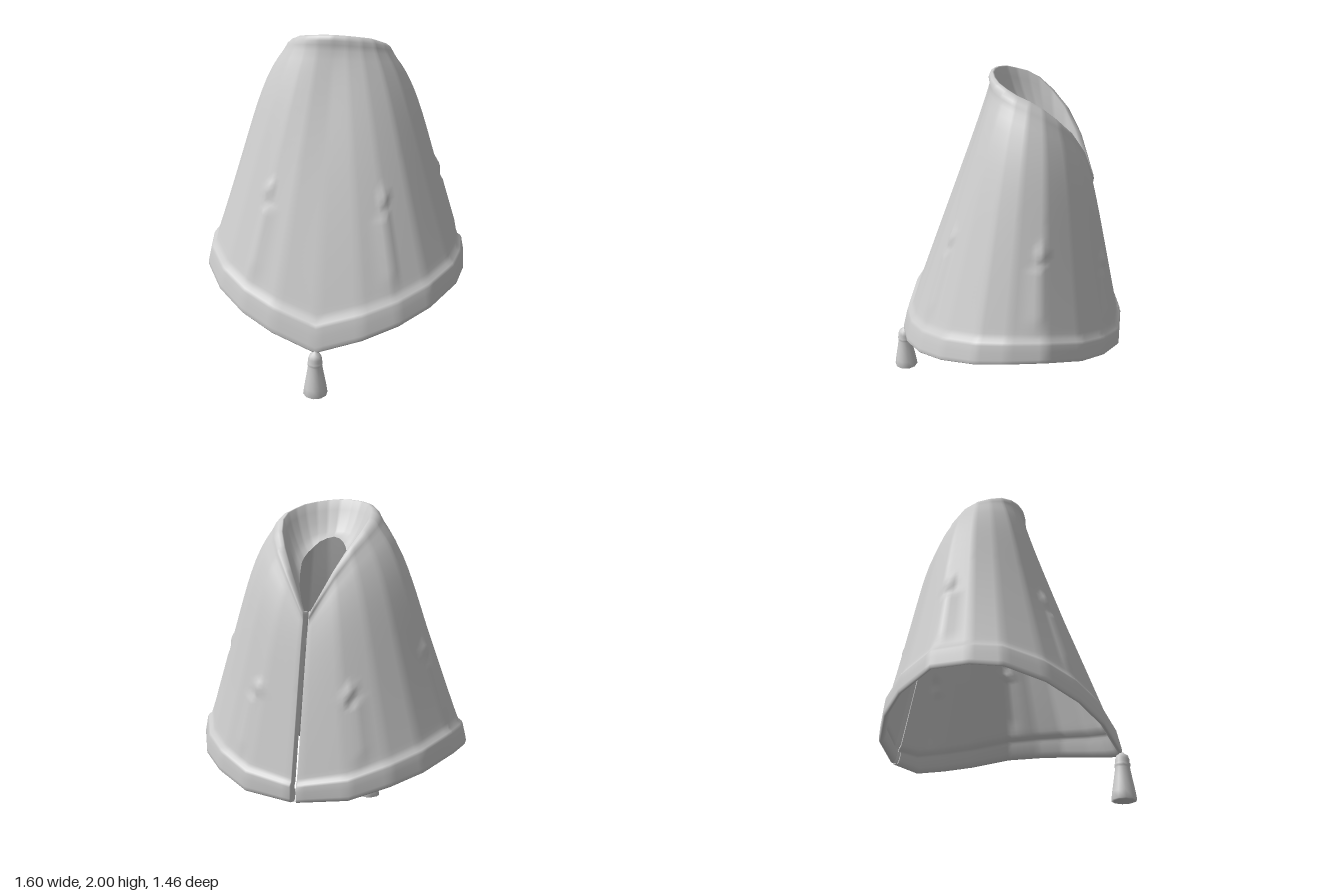
import * as THREE from 'three';

// Half outlines from the front centre round to the back seam: [x, y, z]
const HEM = [[0, .28, .66], [.27, .36, .61], [.47, .425, .52], [.64, .49, .38], [.77, .55, .18], [.8, .57, 0],
  [.79, .57, -.22], [.67, .5, -.44], [.52, .44, -.58], [.31, .37, -.69], [.02, .34, -.73], [.004, .34, -.7]];
const NECK = [[0, 2, .08], [.08, 1.995, .07], [.15, 1.985, .045], [.21, 1.97, 0], [.25, 1.945, -.06], [.272, 1.92, -.13],
  [.275, 1.88, -.2], [.25, 1.81, -.28], [.2, 1.72, -.36], [.13, 1.59, -.43], [.02, 1.37, -.505], [.004, 1.37, -.48]];
const LINING = [[0, 1.78, -.055], [.04, 1.77, -.07], [.075, 1.75, -.1], [.1, 1.72, -.13], [.12, 1.69, -.17], [.13, 1.66, -.21],
  [.13, 1.63, -.25], [.12, 1.57, -.3], [.1, 1.5, -.36], [.06, 1.42, -.43], [.012, 1.34, -.49], [.004, 1.34, -.475]];
// How far the cloth bellies out at each outline point
const BELLY = [-.05, -.02, .02, .06, .09, .115, .115, .1, .08, .05, .01, .01];
// Outline positions of the stitched pleats on each half
const PLEATS = [2.05, 5.85, 8.8];

const lerp = THREE.MathUtils.lerp;

function along(points, u) {
  const i = Math.min(Math.floor(u), points.length - 2);
  return new THREE.Vector3(...points[i]).lerp(new THREE.Vector3(...points[i + 1]), u - i);
}

// Raised fold below a small diamond-shaped knot
function pleatHeight(u, t) {
  let h = 0;
  for (const p of PLEATS) {
    const d = u - p;
    if (t > .1 && t < .4 && d > -.5 && d < .01) h += .014 * (1 + d / .5) * Math.min(1, (t - .1) * 12);
    h += .024 * Math.max(0, 1 - Math.abs(d) / .25 - Math.abs(t - .45) / .06);
  }
  return h;
}

// Point of the outer cloth: t runs from hem to neck, offset is outward
function clothPoint(u, t, offset) {
  const hem = along(HEM, u), neck = along(NECK, u);
  const out = new THREE.Vector3(hem.x, 0, hem.z + .1).normalize();
  const p = hem.lerp(neck, t);
  const k = Math.max(0, t);
  const i = Math.min(Math.floor(u), 10);
  const belly = lerp(BELLY[i], BELLY[i + 1], u - i) * Math.pow(k, 1.3) * (1 - Math.pow(k, 8));
  // The seam edges stay flat
  const fade = u > 10 ? 0 : 1;
  return p.addScaledVector(out, belly + offset * (u > 10 ? .4 : 1) + fade * pleatHeight(u, t));
}

function liningPoint(u, s) {
  const a = clothPoint(u, 1, -.015), b = along(LINING, u);
  const p = a.clone().lerp(b, s);
  p.y -= .06 * Math.sin(Math.PI * s) * Math.max(0, 1 - u / 10);
  return p;
}

function capeGeometry() {
  // Cross-section rows: turned hem, raised band, body, rolled neck, lining
  const rows = [[.06, -.025], [.02, -.03], [0, -.022], [-.006, -.01], [0, 0], [.015, .006], [.05, .013],
    [.078, .019], [.09, .016], [.1, .002]].map(([t, o]) => u => clothPoint(u, t, o));
  for (let t = .12; t < .6; t += .02) rows.push(u => clothPoint(u, t, 0));
  for (const t of [.64, .7, .76, .82, .88, .92, .95]) rows.push(u => clothPoint(u, t, 0));
  for (const [t, o] of [[.97, .006], [.985, .014], [.997, .01], [1.002, -.004]]) rows.push(u => clothPoint(u, t, o));
  for (const s of [0, .15, .35, .6, .8, 1]) rows.push(u => liningPoint(u, s));

  const SUB = 6, half = 11 * SUB, cols = 2 * half + 1;
  const position = [], index = [];
  rows.forEach((row, r) => {
    for (let c = -half; c <= half; c++) {
      const p = row(Math.abs(c) / SUB);
      position.push(c < 0 ? -p.x : p.x, p.y, p.z);
      if (r && c < half) {
        const a = (r - 1) * cols + c + half, b = a + cols;
        index.push(a, a + 1, b + 1, a, b + 1, b);
      }
    }
  });
  const g = new THREE.BufferGeometry();
  g.setAttribute('position', new THREE.Float32BufferAttribute(position, 3));
  g.setIndex(index);
  g.computeVertexNormals();
  return g;
}

export function createModel() {
  const model = new THREE.Group();
  model.name = 'hoodedCape';
  const cloth = new THREE.MeshStandardMaterial({ color: 0xcccccc });
  cloth.name = 'pale grey cloth';
  cloth.side = THREE.DoubleSide;

  const cape = new THREE.Mesh(capeGeometry(), cloth);
  cape.name = 'cape';
  model.add(cape);

  // Tassel hanging from the front point of the hem
  const profile = [[0, .012], [.06, 0], [.072, .004], [.066, .05], [.052, .13], [.042, .19], [.045, .2], [.045, .212],
    [.04, .222], [.041, .24], [.033, .262], [.018, .272], [.004, .285]].map(p => new THREE.Vector2(...p));
  const tassel = new THREE.Mesh(new THREE.LatheGeometry(profile, 10), cloth);
  tassel.name = 'tassel';
  tassel.position.z = .656;
  model.add(tassel);
  return model;
}
